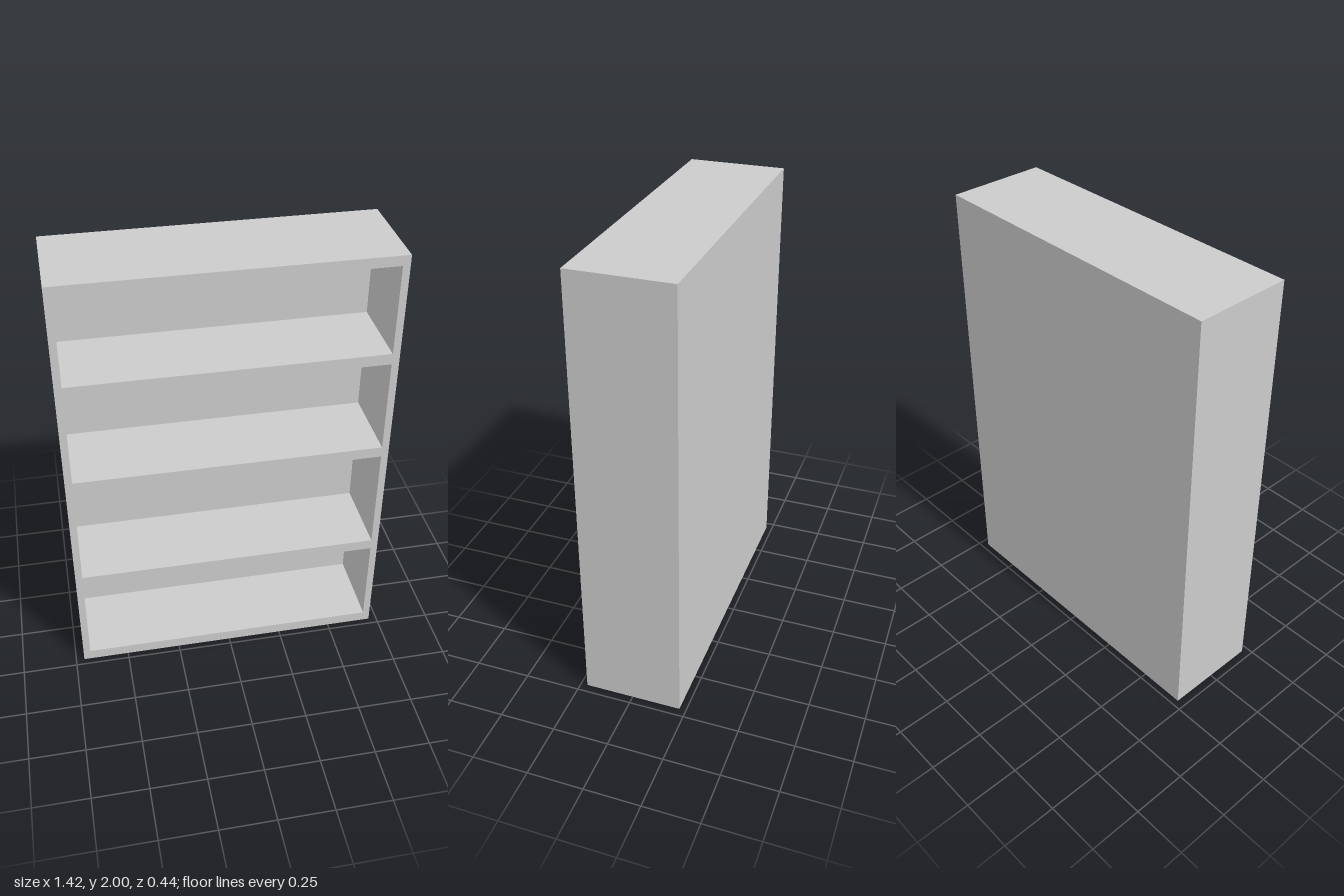
import * as THREE from 'three';

const WIDTH = 1.424, HEIGHT = 2, DEPTH = 0.44;
const INNER_HALF = 0.68;  // half width of the compartments
const BACK = 0.08;        // thickness of the back panel
// bottom and top of each compartment
const BAYS = [[0.05, 0.48], [0.53, 1.025], [1.075, 1.505], [1.555, 1.955]];

function rectangle(path, halfWidth, y0, y1) {
  path.moveTo(-halfWidth, y0);
  path.lineTo(halfWidth, y0);
  path.lineTo(halfWidth, y1);
  path.lineTo(-halfWidth, y1);
  path.closePath();
  return path;
}

export function createModel() {
  const group = new THREE.Group();
  group.name = 'bookcase';
  const material = new THREE.MeshStandardMaterial({ color: 0xcccccc });

  // Sides, top, base and shelves as one frame with open compartments
  const outline = rectangle(new THREE.Shape(), WIDTH / 2, 0, HEIGHT);
  for (const [y0, y1] of BAYS) outline.holes.push(rectangle(new THREE.Path(), INNER_HALF, y0, y1));
  const frame = new THREE.Mesh(
    new THREE.ExtrudeGeometry(outline, { depth: DEPTH - BACK, bevelEnabled: false }), material);
  frame.position.z = -DEPTH / 2 + BACK;
  frame.name = 'shelfFrame';
  group.add(frame);

  // Solid back closing the compartments
  const back = new THREE.Mesh(new THREE.BoxGeometry(WIDTH, HEIGHT, BACK), material);
  back.position.set(0, HEIGHT / 2, -DEPTH / 2 + BACK / 2);
  back.name = 'backPanel';
  group.add(back);

  return group;
}
